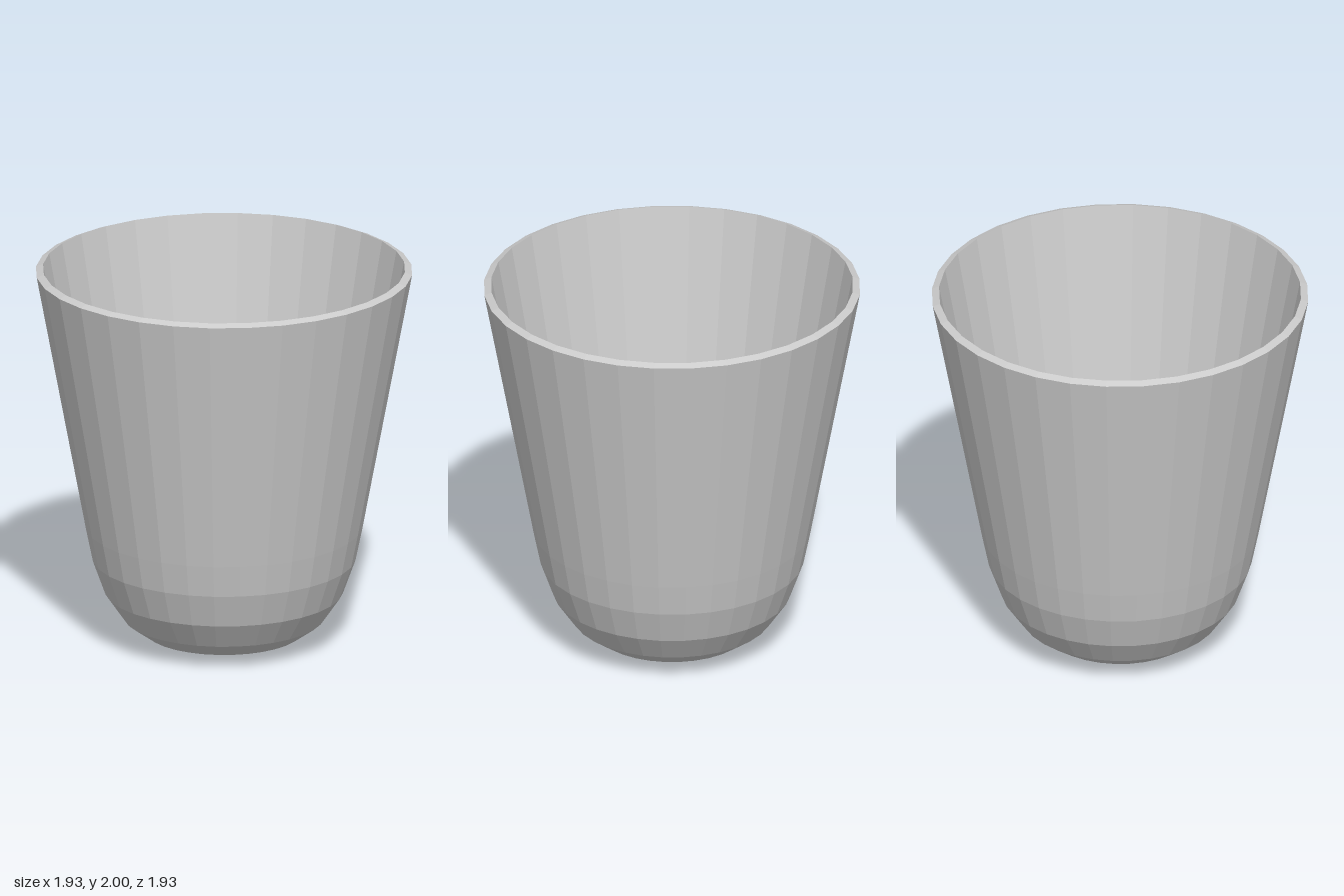
import * as THREE from 'three';

const SIDES = 32;

export function createModel() {
  const group = new THREE.Group();
  group.name = 'cup';
  const material = new THREE.MeshStandardMaterial({ color: 0xcccccc, flatShading: true });

  // Spins a profile of [radius, height] pairs around the upright axis
  const addLathe = (name, profile) => {
    const points = profile.map(([r, y]) => new THREE.Vector2(r, y));
    const mesh = new THREE.Mesh(new THREE.LatheGeometry(points, SIDES), material);
    mesh.name = name;
    group.add(mesh);
  };

  // Outer wall: rounded base flaring up to the lip
  addLathe('outerWall', [
    [0, 0], [0.14, 0.002], [0.27, 0.012], [0.4, 0.05], [0.513, 0.13],
    [0.61, 0.27], [0.675, 0.45], [0.71, 0.62], [0.965, 1.985],
  ]);

  // Lip: narrow bevel rising inward
  addLathe('rim', [[0.965, 1.985], [0.928, 2]]);

  // Inner wall: runs from the lip down to the bowl floor
  addLathe('innerWall', [
    [0.928, 2], [0.672, 0.63], [0.638, 0.46], [0.578, 0.29],
    [0.488, 0.16], [0.388, 0.087], [0.265, 0.049], [0.14, 0.039], [0, 0.037],
  ]);

  return group;
}
